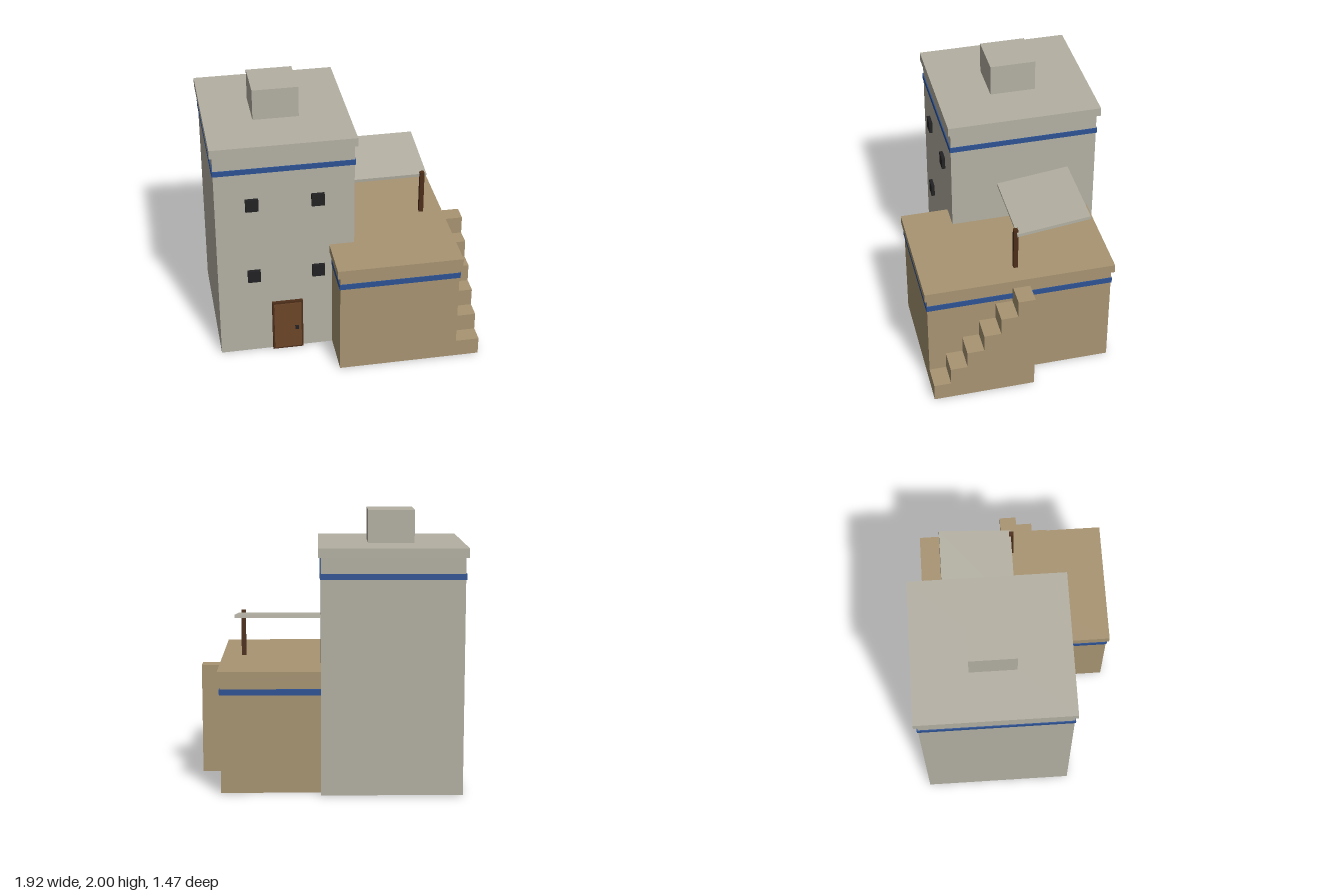
import * as THREE from 'three';

const mat = (name, color) => {
  const m = new THREE.MeshStandardMaterial({ color });
  m.name = name;
  return m;
};

export function createModel() {
  const plaster = mat('grey plaster', 0xb4b0a3);
  const sand = mat('sand plaster', 0xa89472);
  const blue = mat('blue trim', 0x2c5294);
  const wood = mat('door wood', 0x6d4629);
  const darkWood = mat('dark wood', 0x4d2e19);
  const black = mat('black', 0x222224);

  const model = new THREE.Group();
  model.name = 'house';

  // Box given by its extents on each axis
  const box = (name, material, [x0, x1], [y0, y1], [z0, z1], parent = model) => {
    const mesh = new THREE.Mesh(new THREE.BoxGeometry(x1 - x0, y1 - y0, z1 - z0), material);
    mesh.position.set((x0 + x1) / 2, (y0 + y1) / 2, (z0 + z1) / 2);
    mesh.name = name;
    parent.add(mesh);
    return mesh;
  };

  // Tall tower
  const tower = new THREE.Group();
  tower.name = 'tower';
  model.add(tower);
  box('towerWalls', plaster, [-0.94, 0.07], [0, 1.7], [-0.71, 0.375], tower);
  box('towerBand', blue, [-0.947, 0.077], [1.545, 1.585], [-0.717, 0.382], tower);
  box('towerRoof', plaster, [-0.96, 0.09], [1.7, 1.765], [-0.735, 0.393], tower);
  box('roofBlock', plaster, [-0.605, -0.27], [1.765, 2], [-0.335, 0], tower);

  // Windows in two columns and two rows
  for (const x of [-0.675, -0.198]) {
    for (const y of [0.68, 1.29]) {
      box('window', black, [x - 0.047, x + 0.047], [y - 0.048, y + 0.048], [0.37, 0.4], tower);
    }
  }

  // Door with frame and knob
  const door = new THREE.Group();
  door.name = 'door';
  model.add(door);
  box('doorFrame', darkWood, [-0.55, -0.32], [0, 0.425], [0.37, 0.398], door);
  box('doorPanel', wood, [-0.537, -0.333], [0.015, 0.41], [0.39, 0.404], door);
  box('doorKnob', black, [-0.382, -0.354], [0.178, 0.206], [0.4, 0.416], door);

  // Low wing; its underside sits a hair above the tower's
  const wing = new THREE.Group();
  wing.name = 'wing';
  model.add(wing);
  box('wingWalls', sand, [-0.095, 0.785], [0.002, 0.82], [-0.645, 0.715], wing);
  box('wingBand', blue, [-0.1, 0.792], [0.715, 0.758], [-0.651, 0.721], wing);
  box('wingRoof', sand, [-0.115, 0.805], [0.82, 0.885], [-0.665, 0.733], wing);

  // Outside stairs: stepped side profile extruded along x
  const steps = 6, rise = 0.82 / steps, front = 0.715, back = -0.035;
  const run = (front - back) / steps;
  const profile = new THREE.Shape();
  profile.moveTo(-front, 0.002);
  for (let i = 0; i < steps; i++) {
    profile.lineTo(-front + i * run, (i + 1) * rise);
    profile.lineTo(-front + (i + 1) * run, (i + 1) * rise);
  }
  profile.lineTo(-back, 0.002);
  const stairs = new THREE.Mesh(
    new THREE.ExtrudeGeometry(profile, { depth: 0.18, bevelEnabled: false }), sand);
  stairs.rotation.y = Math.PI / 2;
  stairs.position.x = 0.78;
  stairs.name = 'stairs';
  model.add(stairs);

  // Sloping awning on one post
  const awning = box('awning', plaster, [0.065, 0.682], [1.213, 1.238], [-0.507, 0.033]);
  awning.rotation.x = 0.12;
  box('awningPost', darkWood, [0.63, 0.663], [0.88, 1.225], [0.02, 0.053]);

  return model;
}
